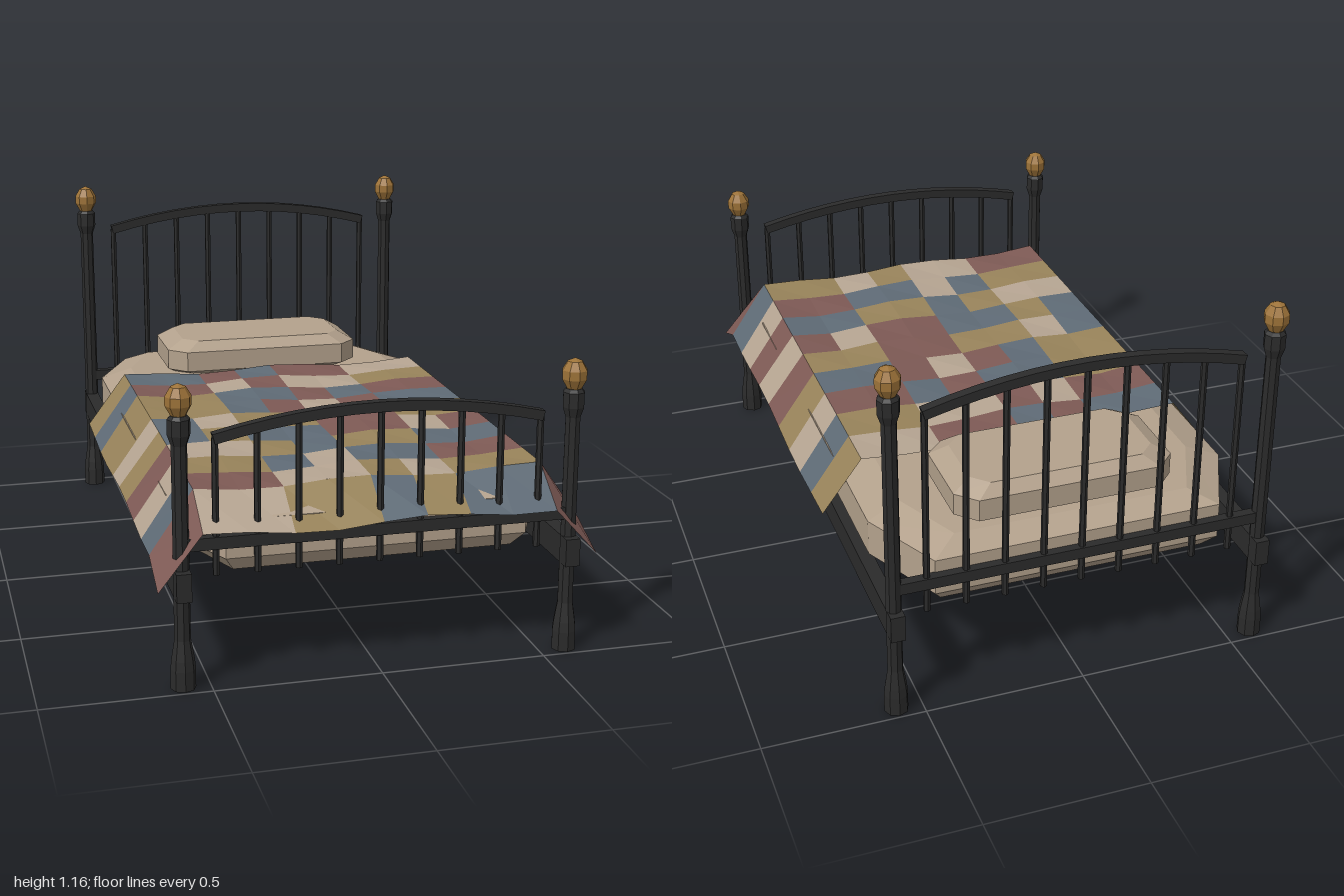
import * as THREE from 'three';

const mat = (name, color) => {
  const m = new THREE.MeshStandardMaterial({ color });
  m.name = name;
  m.flatShading = true;
  return m;
};

export function createModel() {
  const iron = mat('black iron', 0x2b2b2b);
  const brass = mat('brass', 0x9c7238);
  const linen = mat('linen', 0xb3a18c);
  const patches = {
    C: mat('cream patch', 0xb6a592),
    B: mat('blue patch', 0x5f6b76),
    G: mat('gold patch', 0x98835a),
    R: mat('red patch', 0x7e5a55),
  };
  for (const k in patches) patches[k].side = THREE.DoubleSide;

  const bed = new THREE.Group();
  bed.name = 'bed';
  const add = (name, geo, material, x = 0, y = 0, z = 0, parent = bed) => {
    const m = new THREE.Mesh(geo, material);
    m.name = name;
    m.position.set(x, y, z);
    parent.add(m);
    return m;
  };
  const lathe = (pts) => new THREE.LatheGeometry(pts.map(([r, y]) => new THREE.Vector2(r, y)), 8);

  // Corner posts with flared feet, collars and brass finials
  const finial = lathe([[0, 0], [0.022, 0.003], [0.038, 0.032], [0.038, 0.058], [0.022, 0.084], [0, 0.094]]);
  const post = (name, x, z, h) => {
    const g = new THREE.Group();
    g.name = name;
    g.position.set(x, 0, z);
    bed.add(g);
    add('postShaft', lathe([[0, 0], [0.037, 0], [0.037, 0.06], [0.034, 0.09], [0.024, 0.15],
      [0.023, h - 0.085], [0.033, h - 0.055], [0.033, h - 0.01], [0.024, h], [0, h]]), iron, 0, 0, 0, g);
    add('finial', finial, brass, 0, h - 0.003, 0, g);
  };

  // Arched rail: a thin curved band extruded in depth
  const HALF = 0.485;
  const archY = (x, end, rise) => end + rise * (1 - (x / HALF) ** 2);
  const archGeo = (end, rise) => {
    const top = [], low = [];
    for (let i = 0; i <= 12; i++) {
      const x = -HALF + (2 * HALF * i) / 12;
      const slope = (-2 * rise * x) / HALF ** 2;
      const n = new THREE.Vector2(-slope, 1).normalize().multiplyScalar(0.015);
      const y = archY(x, end, rise);
      top.push(new THREE.Vector2(x + n.x, y + n.y));
      low.unshift(new THREE.Vector2(x - n.x, y - n.y));
    }
    const geo = new THREE.ExtrudeGeometry(new THREE.Shape([...low, ...top]), { depth: 0.03, bevelEnabled: false });
    return geo.translate(0, 0, -0.015);
  };

  // Head and foot boards: posts, arch, cross rail and nine spindles
  const board = (name, z, postH, end, rise) => {
    for (const s of [-1, 1]) post(`${name}${s > 0 ? 'Left' : 'Right'}Post`, s * 0.58, z, postH);
    const g = new THREE.Group();
    g.name = name;
    g.position.z = z;
    bed.add(g);
    add('archRail', archGeo(end, rise), iron, 0, 0, 0, g);
    add('crossRail', new THREE.BoxGeometry(1.16, 0.036, 0.03), iron, 0, 0.433, 0, g);
    for (let i = -4; i <= 4; i++) {
      const x = i * 0.12, h = archY(x, end, rise) - 0.335;
      add('spindle', new THREE.CylinderGeometry(0.0105, 0.0105, h, 6), iron, x, 0.335 + h / 2, 0, g);
    }
  };
  board('footboard', 0.955, 0.81, 0.737, 0.06);
  board('headboard', -0.957, 1.065, 0.99, 0.065);

  // Side rails
  for (const s of [-1, 1])
    add(s > 0 ? 'leftSideRail' : 'rightSideRail', new THREE.BoxGeometry(0.044, 0.085, 2), iron, s * 0.58, 0.318, 0);

  // Soft blocks lofted through eight-sided rings: [y, halfX, halfZ, cornerX, cornerZ]
  const loft = (rings) => {
    const loops = rings.map(([y, a, b, c, d]) => [
      [a, d - b], [a - c, -b], [c - a, -b], [-a, d - b], [-a, b - d], [c - a, b], [a - c, b], [a, b - d],
    ].map(([x, z]) => [x, y, z]));
    const pos = [];
    const tri = (...p) => p.forEach((v) => pos.push(...v));
    for (let r = 0; r + 1 < loops.length; r++)
      for (let i = 0; i < 8; i++) {
        const j = (i + 1) % 8, lo = loops[r], hi = loops[r + 1];
        tri(lo[i], lo[j], hi[j]);
        tri(lo[i], hi[j], hi[i]);
      }
    const first = loops[0], last = loops[loops.length - 1];
    for (let i = 1; i < 7; i++) {
      tri(last[0], last[i], last[i + 1]);
      tri(first[0], first[i + 1], first[i]);
    }
    return toGeo(pos);
  };
  const toGeo = (pos) => {
    const geo = new THREE.BufferGeometry();
    geo.setAttribute('position', new THREE.Float32BufferAttribute(pos, 3));
    geo.computeVertexNormals();
    return geo;
  };
  add('mattress', loft([
    [0.325, 0.5, 0.9, 0.08, 0.2],
    [0.375, 0.575, 0.945, 0.125, 0.26],
    [0.49, 0.575, 0.945, 0.125, 0.26],
    [0.527, 0.47, 0.88, 0.1, 0.22],
  ]), linen);
  add('pillow', loft([
    [0.52, 0.31, 0.145, 0.06, 0.05],
    [0.54, 0.347, 0.18, 0.06, 0.06],
    [0.61, 0.347, 0.18, 0.06, 0.06],
    [0.643, 0.29, 0.145, 0.05, 0.05],
  ]), linen, 0, 0, -0.685);

  // Patchwork quilt: a draped grid, one letter per patch, rows from head to foot
  const rows = [
    'GBBRBRRCCG', 'BRRCRCCGGB', 'GGGBBRBRRC', 'GGGBRCRBBG', 'CBCGGRRGGR',
    'GBGBBRRCRC', 'RCCGBGGBBR', 'CGGBCBBRRC', 'BRRCCGCGGB', 'RCCGGBGBBR',
  ];
  const xs = [-0.655, -0.525, -0.39, -0.26, -0.13, 0, 0.13, 0.26, 0.39, 0.525, 0.655];
  const point = (i, j) => {
    const side = i === 0 || i === 10, foot = j === 10;
    const wave = Math.sin(i * 1.5 + j * 0.8);
    let y = 0.553 + 0.009 * wave;
    if (i === 1 || i === 9) y = 0.56;
    if (side) y = 0.378 + 0.01 * Math.sin(j * 1.1 + 2);
    if (foot) y = side ? 0.31 : 0.463 + 0.012 * Math.sin(i * 1.3);
    return [xs[i], y, -0.45 + 0.145 * j];
  };
  const buckets = { C: [], B: [], G: [], R: [] };
  rows.forEach((row, j) => [...row].forEach((k, i) => {
    const a = point(i, j), b = point(i, j + 1), c = point(i + 1, j + 1), d = point(i + 1, j);
    buckets[k].push(...a, ...b, ...c, ...a, ...c, ...d);
  }));
  const quilt = new THREE.Group();
  quilt.name = 'quilt';
  bed.add(quilt);
  for (const k in buckets) add(`${patches[k].name}es`, toGeo(buckets[k]), patches[k], 0, 0, 0, quilt);

  return bed;
}
